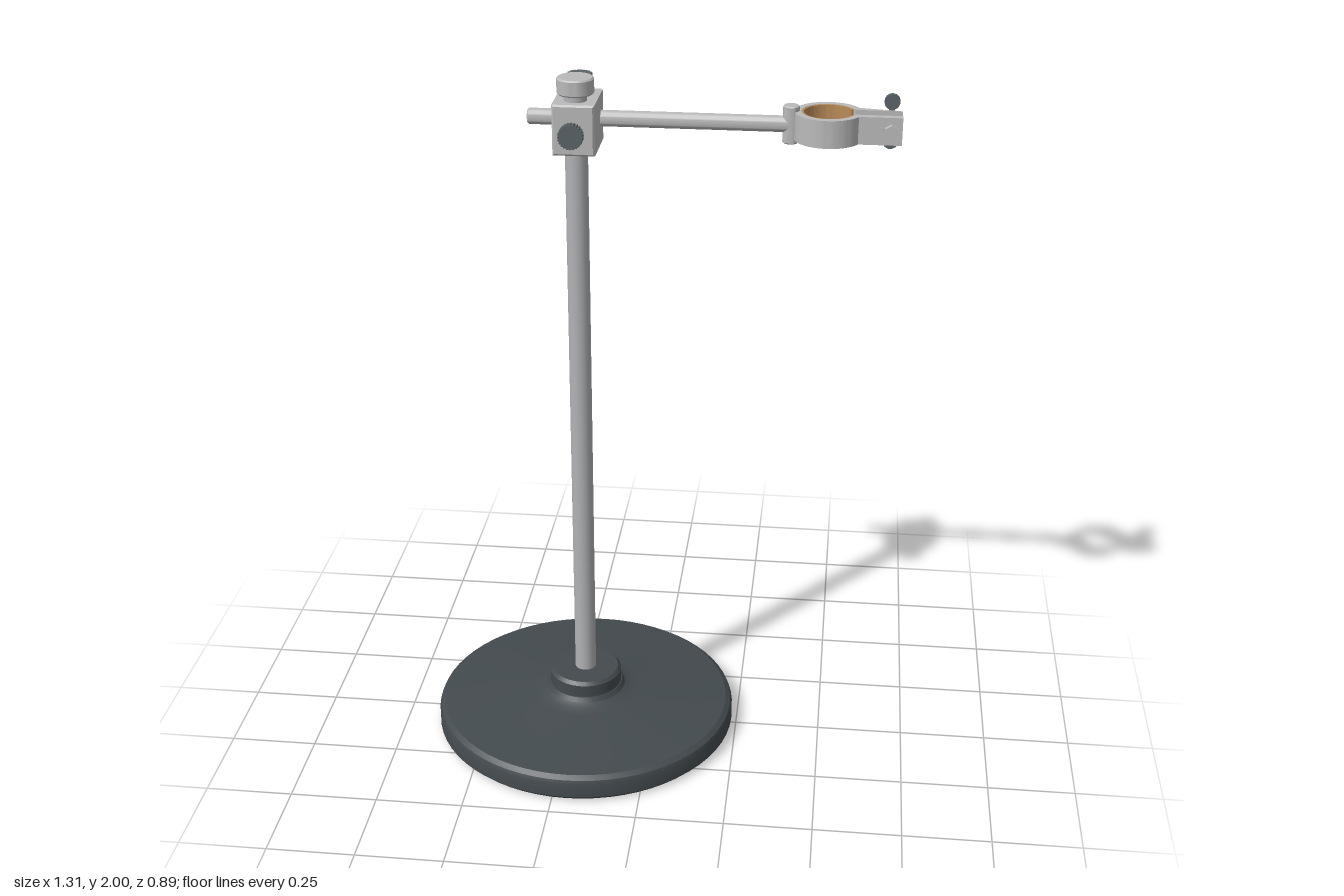
import * as THREE from 'three';
import { toCreasedNormals } from 'three/addons/utils/BufferGeometryUtils.js';

const material = (name, color) => new THREE.MeshStandardMaterial({ name, color });

export function createModel() {
  const iron = material('dark iron', 0x434a4e);
  const steel = material('pole steel', 0xb0b2b5);
  const alloy = material('light alloy', 0xbababa);
  const knobGrey = material('knob grey', 0x5a6468);
  const boltSteel = material('bolt steel', 0x96999c);
  const cork = material('cork', 0xb98a58);

  const POLE_X = -0.21, ARM_Y = 1.867, ARM_Z = -0.078;
  const RING_X = 0.456, BOLT_X = 0.623;
  const model = new THREE.Group();
  model.name = 'clampStand';

  const add = (name, geometry, mat, x = 0, y = 0, z = 0, parent = model) => {
    const mesh = new THREE.Mesh(geometry, mat);
    mesh.name = name;
    mesh.position.set(x, y, z);
    parent.add(mesh);
    return mesh;
  };
  const lathe = (points, segments = 48) => toCreasedNormals(
    new THREE.LatheGeometry(points.map(([r, y]) => new THREE.Vector2(r, y)), segments), 0.5);
  // Cylinder with softened rims, standing on its own origin
  const turned = (r, h, c = 0.004) =>
    lathe([[0, 0], [r - c, 0], [r, c], [r, h - c], [r - c, h], [0, h]], 32);

  // Weighted base with a filleted hub
  add('base', lathe([
    [0, 0], [0.432, 0], [0.446, 0.014], [0.446, 0.055], [0.441, 0.068], [0.427, 0.078],
    [0.165, 0.103], [0.135, 0.108], [0.118, 0.117], [0.11, 0.13],
    [0.107, 0.13], [0.107, 0.168], [0.098, 0.178], [0, 0.178],
  ], 64), iron, POLE_X);

  // Pole and its cap
  add('pole', new THREE.CylinderGeometry(0.031, 0.031, 1.8, 32), steel, POLE_X, 1.065, 0);
  add('poleCap', turned(0.05, 0.045), alloy, POLE_X, 1.955, 0);

  // Boss head with a narrow bevel
  const hw = 0.057, hh = 0.069, b = 0.005;
  const outline = new THREE.Shape([
    [-hw + b, -hh + b], [hw - b, -hh + b], [hw - b, hh - b], [-hw + b, hh - b],
  ].map(([x, y]) => new THREE.Vector2(x, y)));
  add('bossHead', new THREE.ExtrudeGeometry(outline, {
    depth: 0.175 - 2 * b, bevelEnabled: true, bevelThickness: b, bevelSize: b, bevelSegments: 1,
  }), alloy, POLE_X, 1.868, -0.12 + b);

  // Knurled thumb screws, built upright
  const thumbScrew = (name, stemLength, headHeight) => {
    const screw = new THREE.Group();
    screw.name = name;
    const teeth = 24, rim = [];
    for (let i = 0; i < teeth * 2; i++) {
      const a = i * Math.PI / teeth, r = i % 2 ? 0.0315 : 0.0345;
      rim.push(new THREE.Vector2(Math.cos(a) * r, Math.sin(a) * r));
    }
    const head = new THREE.ExtrudeGeometry(new THREE.Shape(rim),
      { depth: headHeight, bevelEnabled: false });
    head.rotateX(-Math.PI / 2);
    add('screwStem', new THREE.CylinderGeometry(0.014, 0.014, stemLength + 0.01, 20),
      boltSteel, 0, stemLength / 2 - 0.005, 0, screw);
    add('screwHead', head, knobGrey, 0, stemLength, 0, screw);
    model.add(screw);
    return screw;
  };
  const poleScrew = thumbScrew('poleScrew', 0.03, 0.026);
  poleScrew.position.set(POLE_X, ARM_Y, 0.055);
  poleScrew.rotation.x = Math.PI / 2;
  thumbScrew('armScrew', 0.026, 0.026).position.set(POLE_X, 1.937, ARM_Z);

  // Horizontal arm and the pin joining it to the ring
  const arm = add('arm', turned(0.022, 0.71), alloy, -0.353, ARM_Y, ARM_Z);
  arm.rotation.z = -Math.PI / 2;
  add('pivotPin', turned(0.022, 0.103, 0.003), alloy, 0.357, 1.816, ARM_Z);

  // Split ring with two clamping ears
  const flatPart = (shape, height) => {
    const g = new THREE.ExtrudeGeometry(shape,
      { depth: height, bevelEnabled: false, curveSegments: 48 });
    g.rotateX(-Math.PI / 2).translate(0, -height / 2, 0);
    return toCreasedNormals(g, 0.5);
  };
  const FULL = Math.PI * 2, R = 0.091, r = 0.072, earEnd = 0.196;
  const a1 = Math.asin(0.043 / R), a2 = Math.asin(0.022 / r) + 0.12;
  const ring = new THREE.Shape();
  ring.moveTo(earEnd, 0.043);
  ring.absarc(0, 0, R, a1, FULL - a1, false);
  ring.lineTo(earEnd, -0.043);
  ring.lineTo(earEnd, -0.022);
  ring.lineTo(0.072, -0.022);
  ring.absarc(0, 0, r, FULL - a2, a2, true);
  ring.lineTo(0.072, 0.022);
  ring.lineTo(earEnd, 0.022);
  ring.closePath();
  add('clampRing', flatPart(ring, 0.075), alloy, RING_X, ARM_Y, ARM_Z);

  const liner = new THREE.Shape();
  liner.absarc(0, 0, 0.0725, a2, FULL - a2, false);
  liner.absarc(0, 0, 0.066, FULL - a2, a2, true);
  liner.closePath();
  add('corkLiner', flatPart(liner, 0.073), cork, RING_X, ARM_Y, ARM_Z);

  // Clamping bolt: head in front, threaded shank pointing back
  const bolt = new THREE.Group();
  bolt.name = 'clampBolt';
  bolt.position.set(BOLT_X, ARM_Y, -0.035);
  bolt.rotation.x = -Math.PI / 2;
  model.add(bolt);
  const thread = [[0, 0]];
  for (let i = 0; i <= 12; i++) {
    thread.push([0.009, i * 0.0125], [0.0125, i * 0.0125 + 0.006]);
  }
  thread.push([0, 0.157]);
  add('threadedShank', lathe(thread, 20), boltSteel, 0, 0, 0, bolt);
  const hex = new THREE.CylinderGeometry(0.021, 0.021, 0.018, 6).toNonIndexed();
  hex.computeVertexNormals();
  add('boltHead', hex, alloy, 0, -0.009, 0, bolt);

  // Wing nut against the rear ear
  add('nutHub', lathe([[0, 0], [0.021, 0], [0.017, 0.027], [0, 0.027]], 24),
    knobGrey, 0, 0.085, 0, bolt);
  for (const side of [-1, 1]) {
    add('nutWing', new THREE.CylinderGeometry(0.021, 0.021, 0.014, 24),
      knobGrey, 0, 0.098, side * 0.054, bolt);
    add('nutWingRoot', new THREE.BoxGeometry(0.016, 0.014, 0.04),
      knobGrey, 0, 0.098, side * 0.03, bolt);
  }

  return model;
}
